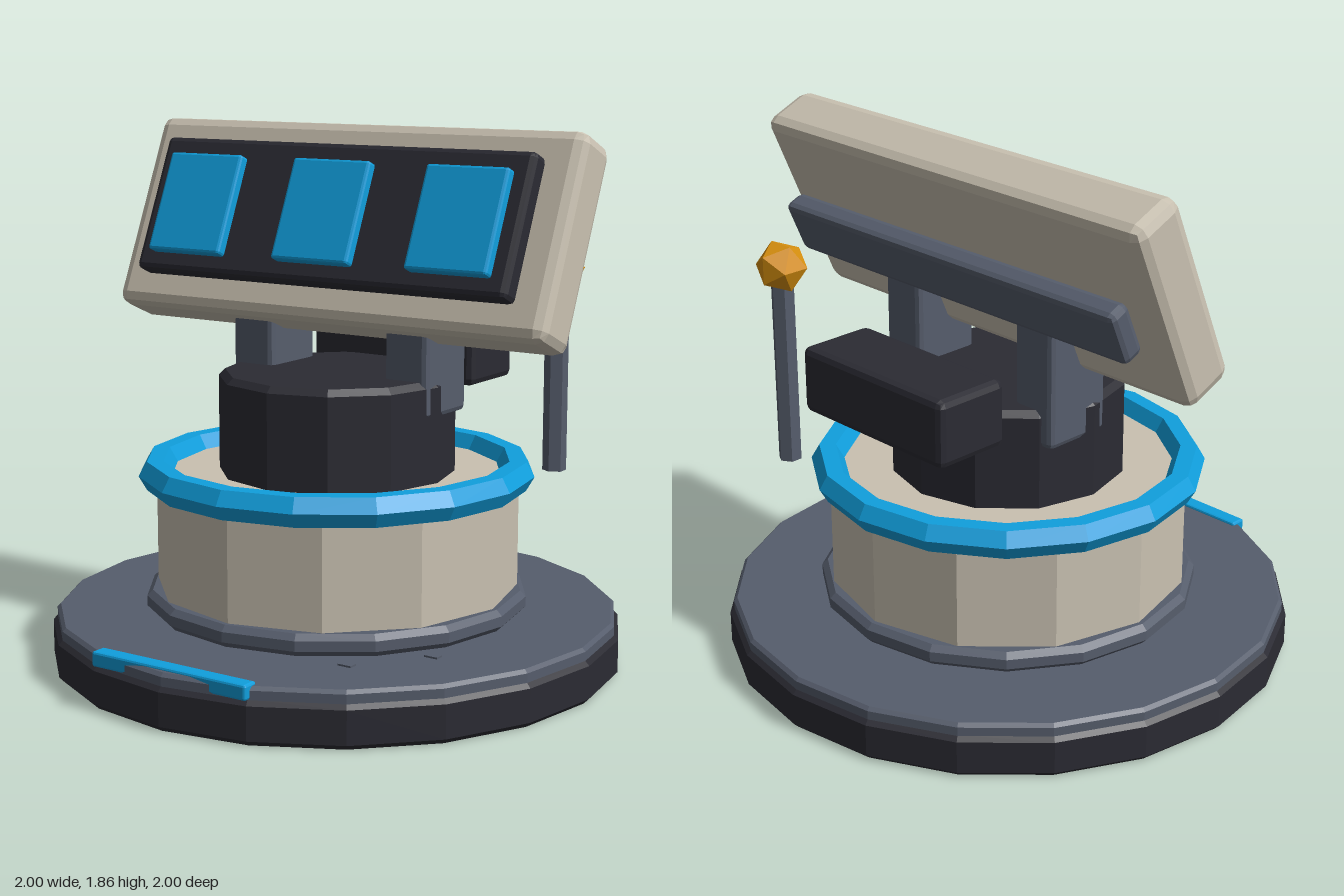
import * as THREE from 'three';
import { RoundedBoxGeometry } from 'three/addons/geometries/RoundedBoxGeometry.js';

const material = (name, color) => {
  const m = new THREE.MeshStandardMaterial({ color });
  m.name = name;
  return m;
};

// Facet a geometry so every face keeps its own normal
const faceted = (geometry) => {
  const g = geometry.index ? geometry.toNonIndexed() : geometry;
  g.computeVertexNormals();
  return g;
};

export function createModel() {
  const charcoal = material('charcoal', 0x2b2b33);
  const slate = material('slate', 0x565d6c);
  const cream = material('cream', 0xc9c1b1);
  const blue = material('blue', 0x109fdd);
  const amber = material('amber', 0xd8900f);

  const model = new THREE.Group();
  model.name = 'displayTurret';

  const add = (parent, name, geometry, mat, x = 0, y = 0, z = 0) => {
    const mesh = new THREE.Mesh(faceted(geometry), mat);
    mesh.name = name;
    mesh.position.set(x, y, z);
    parent.add(mesh);
    return mesh;
  };

  // Many-sided disc with chamfered rims
  const disc = (r, y0, y1, c, sides) => new THREE.LatheGeometry([
    [0, y0], [r - c, y0], [r, y0 + c], [r, y1 - c], [r - c, y1], [0, y1],
  ].map(([x, y]) => new THREE.Vector2(x, y)), sides);

  const block = (w, h, d, c) => new RoundedBoxGeometry(w, h, d, 1, c);

  // Base and deck
  add(model, 'base', disc(1, 0, 0.15, 0.018, 20), charcoal);
  add(model, 'deck', disc(0.985, 0.13, 0.19, 0.012, 20), slate);
  add(model, 'frontStrip', block(0.62, 0.052, 0.06, 0.008), blue, 0, 0.174, 0.928);
  for (const [x, z] of [[0.62, 0.36], [0.44, 0.59]]) {
    add(model, 'deckStud', new THREE.BoxGeometry(0.05, 0.012, 0.03), slate, x, 0.19, z);
  }

  // Body, collar, ring and drum
  add(model, 'collar', disc(0.67, 0.19, 0.265, 0.02, 16), slate);
  add(model, 'body', new THREE.CylinderGeometry(0.635, 0.635, 0.44, 12), cream, 0, 0.45, 0);
  const ring = new THREE.TorusGeometry(0.635, 0.058, 6, 16);
  ring.rotateX(Math.PI / 2);
  add(model, 'ring', ring, blue, 0, 0.67, 0);
  add(model, 'drum', disc(0.412, 0.64, 1.02, 0.022, 12), charcoal);
  add(model, 'rearPack', block(0.68, 0.235, 0.285, 0.025), charcoal, 0, 1.058, -0.49);

  // Posts carrying the head
  for (const side of [-1, 1]) {
    add(model, 'post', block(0.17, 0.49, 0.26, 0.02), slate, side * 0.318, 1.135, -0.07);
  }

  // Tilted head with bezel, three screens and back rail
  const head = new THREE.Group();
  head.name = 'head';
  head.position.set(0, 1.5, -0.098);
  head.rotation.x = -0.411;
  model.add(head);
  add(head, 'housing', block(1.75, 0.72, 0.207, 0.04), cream);
  add(head, 'bezel', block(1.51, 0.5, 0.085, 0.02), charcoal, 0, 0, 0.14);
  for (const i of [-1, 0, 1]) {
    add(head, 'screen', block(0.312, 0.365, 0.06, 0.01), blue, i * 0.535, -0.005, 0.19);
  }
  add(head, 'backRail', block(1.56, 0.2, 0.085, 0.022), slate, 0, -0.005, -0.175);

  // Antenna
  add(model, 'antennaMast', new THREE.CylinderGeometry(0.042, 0.042, 0.66, 6), slate, 0.585, 0.975, -0.51);
  add(model, 'antennaTip', new THREE.IcosahedronGeometry(0.093, 0), amber, 0.585, 1.365, -0.51);

  return model;
}
